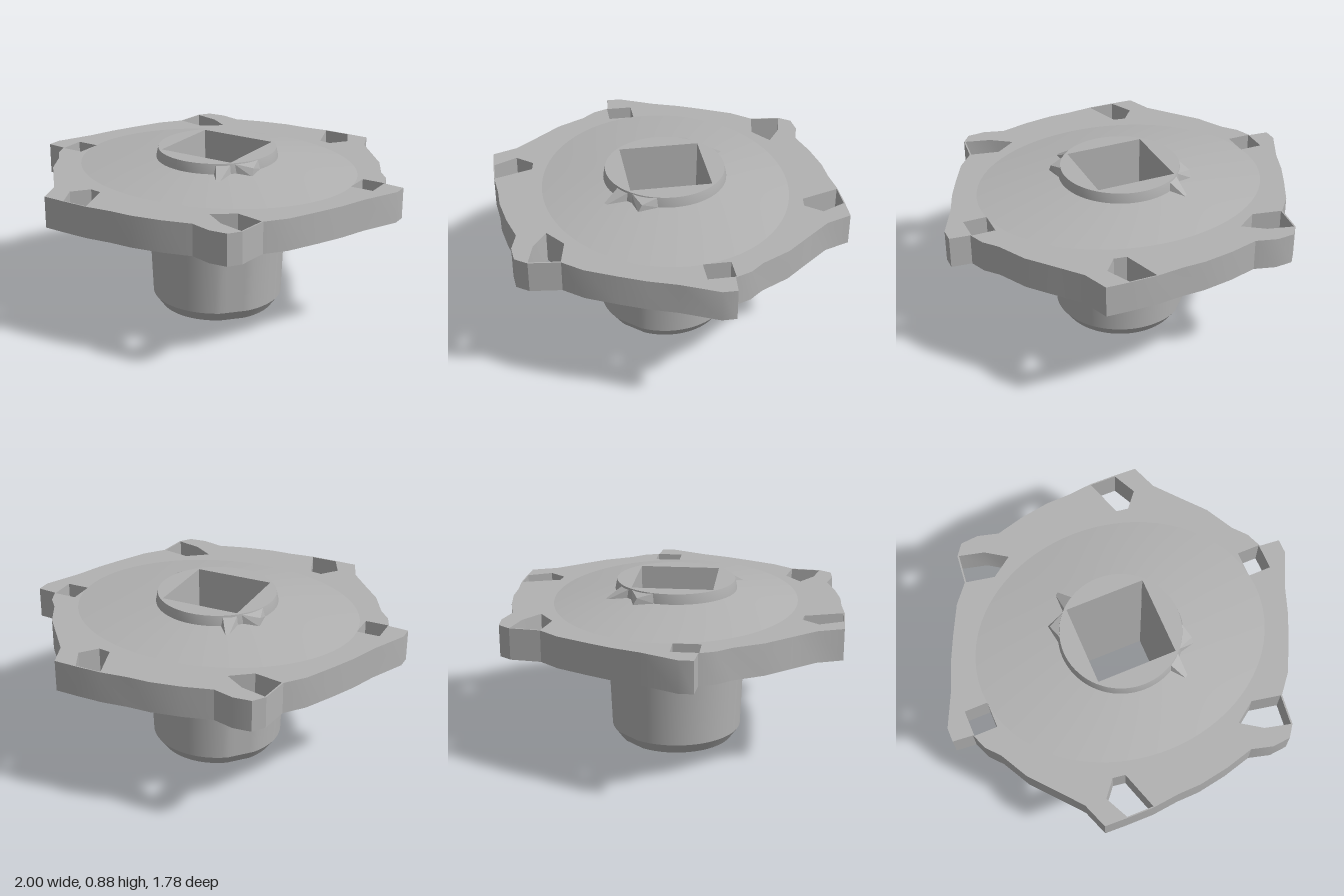
import * as THREE from 'three';
import { toCreasedNormals } from 'three/addons/utils/BufferGeometryUtils.js';
import { ConvexGeometry } from 'three/addons/geometries/ConvexGeometry.js';

const RAD = Math.PI / 180;
const ANGLES = [];
for (let a = 0; a < 360; a += 5) ANGLES.push(a);

// Radius rules, each taking an angle in degrees
const round = (r) => () => r;
const square = (h) => (a) => h / Math.max(Math.abs(Math.cos(a * RAD)), Math.abs(Math.sin(a * RAD)));
const ellipse = (rx, rz) => (a) => 1 / Math.hypot(Math.cos(a * RAD) / rx, Math.sin(a * RAD) / rz);
// Circle with one flat cut on each of two opposite corners
const flatted = (r, from = 30, to = 55) => (a) => {
  const t = a % 180;
  if (t < from || t > to) return r;
  return r * Math.cos((to - from) / 2 * RAD) / Math.cos((t - (from + to) / 2) * RAD);
};

// Skin a list of rings [radiusRule, y]
function loft(rings, crease = 0.5) {
  const pos = [];
  const point = ([rule, y], a) => [rule(a) * Math.cos(a * RAD), y, rule(a) * Math.sin(a * RAD)];
  for (let i = 0; i < rings.length - 1; i++) {
    ANGLES.forEach((a, k) => {
      const b = ANGLES[(k + 1) % ANGLES.length];
      const p = point(rings[i], a), q = point(rings[i], b);
      const u = point(rings[i + 1], a), v = point(rings[i + 1], b);
      pos.push(...p, ...u, ...q, ...q, ...u, ...v);
    });
  }
  const g = new THREE.BufferGeometry();
  g.setAttribute('position', new THREE.Float32BufferAttribute(pos, 3));
  g.computeVertexNormals();
  return toCreasedNormals(g, crease);
}

export function createModel() {
  const model = new THREE.Group();
  const grey = new THREE.MeshStandardMaterial({ color: 0xb2b2b2 });
  grey.name = 'grey metal';
  const add = (name, geometry, turn = 0) => {
    const mesh = new THREE.Mesh(geometry, grey);
    mesh.name = name;
    mesh.rotation.y = turn;
    model.add(mesh);
  };

  // Stem, lower flange and collar around a square bore
  add('hubWithSquareBore', loft([
    [square(0.213), 0], [flatted(0.31), 0], [flatted(0.353), 0.06],
    [flatted(0.372), 0.555], [flatted(0.49, 20, 65), 0.555], [flatted(0.49, 20, 65), 0.62],
    [round(0.325), 0.62], [round(0.325), 0.835], [round(0.315), 0.883],
    [square(0.213), 0.883], [square(0.213), 0],
  ]));

  // Plate outline: half of it, then the same turned by 180 degrees (x, z)
  const half = [
    [1, -0.185], [1, -0.11], [0.91, 0.08], [0.86, 0.22], [0.8, 0.35], [0.72, 0.51], [0.638, 0.61],
    [0.62, 0.77], [0.575, 0.832], [0.48, 0.84], [0.37, 0.81], [0.22, 0.85], [0.06, 0.876],
    [-0.06, 0.878], [-0.2, 0.892], [-0.34, 0.89], [-0.46, 0.885], [-0.51, 0.75], [-0.61, 0.63],
    [-0.72, 0.5], [-0.8, 0.35], [-0.86, 0.28], [-0.894, 0.195],
  ];
  const holes = [
    [[0.63, 0.61], [0.48, 0.58], [0.37, 0.66], [0.48, 0.735], [0.612, 0.768]],
    [[-0.2, 0.886], [-0.265, 0.685], [-0.33, 0.675], [-0.4, 0.76], [-0.34, 0.884]],
    [[0.765, -0.2], [0.765, -0.06], [0.888, -0.06], [0.888, -0.2]],
  ];
  const turned = (pts) => pts.map(([x, z]) => [-x, -z]);
  const vectors = (pts) => pts.map(([x, z]) => new THREE.Vector2(x, z));
  const shape = new THREE.Shape(vectors([...half, ...turned(half)]));
  for (const h of holes) {
    shape.holes.push(new THREE.Path(vectors(h)), new THREE.Path(vectors(turned(h))));
  }
  shape.holes.push(new THREE.Path().absarc(0, 0, 0.3, 0, Math.PI * 2, true));
  const plate = new THREE.ExtrudeGeometry(shape, { depth: 0.165, bevelEnabled: false, curveSegments: 16 });
  plate.rotateX(Math.PI / 2).translate(0, 0.775, 0);
  add('mountingPlate', toCreasedNormals(plate, 0.5));

  // Shallow dome rising to the collar
  add('dome', loft([[ellipse(0.77, 0.65), 0.775], [ellipse(0.52, 0.47), 0.81], [round(0.31), 0.832]]));

  // Torn wedges on two opposite corners of the collar
  const wedges = [
    [[0.33, 0.19, 0.82], [0.31, 0.05, 0.82], [0.22, 0.22, 0.82], [0.3, 0.08, 0.882], [0.23, 0.21, 0.88], [0.325, 0.17, 0.86]],
    [[0.23, 0.375, 0.8], [0.15, 0.28, 0.82], [0.23, 0.22, 0.82], [0.16, 0.27, 0.875], [0.22, 0.225, 0.875]],
  ];
  for (const turn of [0, Math.PI]) {
    for (const w of wedges) {
      add('collarWedge', new ConvexGeometry(w.map(([x, z, y]) => new THREE.Vector3(x, y, z))), turn);
    }
  }
  return model;
}
